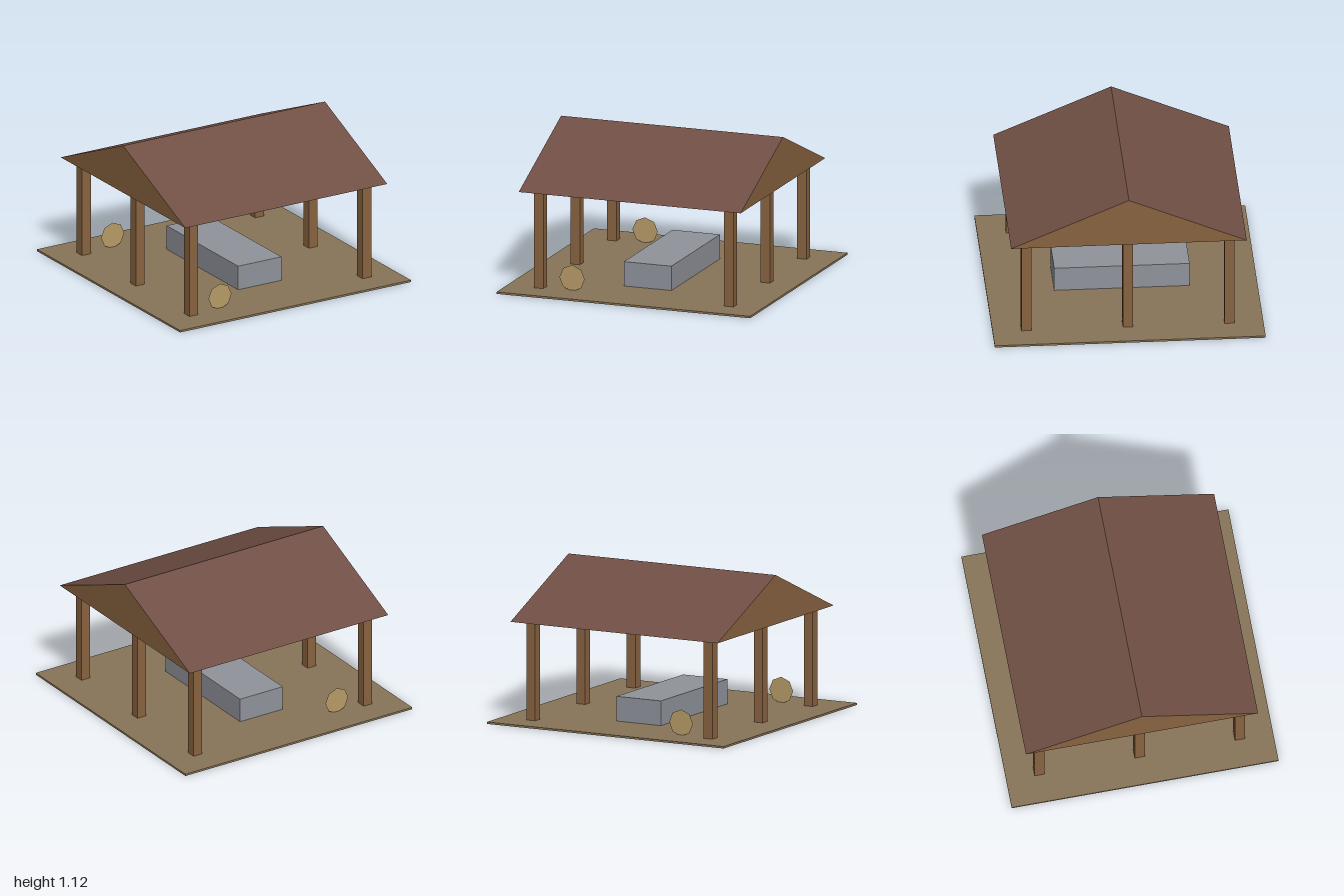
import * as THREE from 'three';

const paint = (name, color, side = THREE.FrontSide) => {
  const m = new THREE.MeshStandardMaterial({ color, side });
  m.name = name;
  return m;
};

export function createModel() {
  const group = new THREE.Group();
  const wood = paint('wood', 0x886340, THREE.DoubleSide);
  const tile = paint('roof brown', 0x704f44, THREE.DoubleSide);
  const earth = paint('packed earth', 0x877458);
  const stone = paint('grey stone', 0x90939b);
  const straw = paint('straw', 0xb89b68, THREE.DoubleSide);

  const add = (name, geometry, material, x, y, z) => {
    const mesh = new THREE.Mesh(geometry, material);
    mesh.name = name;
    mesh.position.set(x, y, z);
    group.add(mesh);
    return mesh;
  };
  // Box given by its bottom and top heights
  const block = (name, w, d, y0, y1, material, x = 0, z = 0) =>
    add(name, new THREE.BoxGeometry(w, y1 - y0, d), material, x, (y0 + y1) / 2, z);

  block('ground', 2, 2, 0, 0.015, earth);
  block('counter', 0.375, 1, 0.005, 0.2, stone);

  // Three posts along each side
  const eave = 0.755, ridge = 1.125, half = 0.87, halfLength = 0.875;
  for (const x of [-0.75, 0.75])
    for (const z of [-0.75, 0, 0.75]) block('post', 0.075, 0.075, 0.005, eave, wood, x, z);

  // Thin octagonal targets with a corner pointing up
  for (const z of [-0.75, 0.75])
    add('roundTarget', new THREE.CircleGeometry(0.1, 8), straw, -0.5, 0.105, z);

  // Roof slopes, open underneath
  const rise = ridge - eave;
  for (const s of [-1, 1]) {
    const slope = new THREE.PlaneGeometry(2 * halfLength, Math.hypot(half, rise));
    slope.rotateX(-Math.PI / 2 + Math.atan2(rise, half));
    const mesh = add('roofSlope', slope, tile, 0, (eave + ridge) / 2, s * half / 2);
    if (s < 0) mesh.rotation.y = Math.PI;
  }

  // Gable triangles closing both ends
  const triangle = new THREE.Shape([
    new THREE.Vector2(-half, 0), new THREE.Vector2(half, 0), new THREE.Vector2(0, rise),
  ]);
  for (const s of [-1, 1])
    add('gable', new THREE.ShapeGeometry(triangle), wood, s * halfLength, eave, 0).rotation.y = s * Math.PI / 2;

  return group;
}
